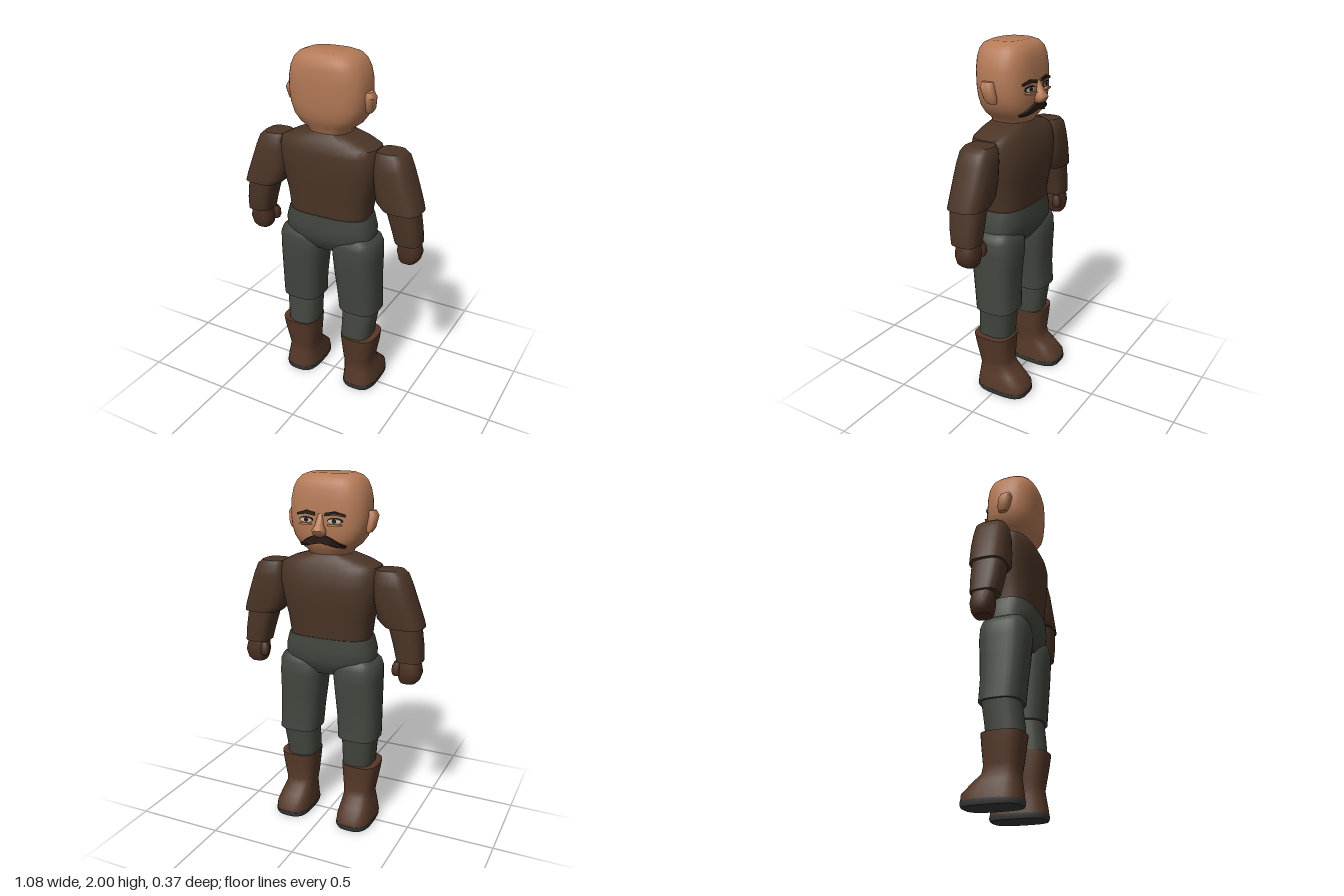
import * as THREE from 'three';
import { toCreasedNormals } from 'three/addons/utils/BufferGeometryUtils.js';

const material = (name, color) => {
  const m = new THREE.MeshStandardMaterial({ color });
  m.name = name;
  return m;
};

// Rounded cross-section: half width and depth as a superellipse of power n
const power = (v, n) => Math.sign(v) * Math.pow(Math.abs(v), 2 / n);

// Skin over stacked sections [y, xMin, xMax, zMin, zMax], listed from bottom to top
function loft(sections, { n = 2.8, sides = 28, side = 1, crease = 0.75 } = {}) {
  const pos = [], index = [];
  for (const [y, x0, x1, z0, z1] of sections) {
    for (let j = 0; j < sides; j++) {
      const t = (j / sides) * Math.PI * 2;
      pos.push(
        side * (x0 + x1) / 2 + (x1 - x0) / 2 * power(Math.cos(t), n), y,
        (z0 + z1) / 2 + (z1 - z0) / 2 * power(Math.sin(t), n));
    }
  }
  for (let i = 0; i < sections.length - 1; i++) {
    for (let j = 0; j < sides; j++) {
      const k = (j + 1) % sides;
      const a = i * sides + j, b = i * sides + k, c = a + sides, d = b + sides;
      index.push(a, c, b, b, c, d);
    }
  }
  // End caps
  const first = sections[0], last = sections[sections.length - 1];
  const low = pos.length / 3, high = low + 1, top = (sections.length - 1) * sides;
  for (const [y, x0, x1, z0, z1] of [first, last]) pos.push(side * (x0 + x1) / 2, y, (z0 + z1) / 2);
  for (let j = 0; j < sides; j++) {
    const k = (j + 1) % sides;
    index.push(low, j, k, high, top + k, top + j);
  }
  const g = new THREE.BufferGeometry();
  g.setAttribute('position', new THREE.Float32BufferAttribute(pos, 3));
  g.setIndex(index);
  return toCreasedNormals(g, crease);
}

const HEAD = [
  [1.57, -0.11, 0.11, -0.065, 0.125],
  [1.60, -0.125, 0.125, -0.085, 0.135],
  [1.63, -0.165, 0.165, -0.105, 0.155],
  [1.67, -0.195, 0.195, -0.116, 0.17],
  [1.72, -0.212, 0.212, -0.12, 0.178],
  [1.78, -0.22, 0.22, -0.121, 0.183],
  [1.86, -0.218, 0.218, -0.118, 0.186],
  [1.92, -0.205, 0.205, -0.112, 0.184],
  [1.96, -0.185, 0.185, -0.1, 0.176],
  [1.985, -0.16, 0.16, -0.08, 0.16],
  [2.0, -0.12, 0.12, -0.045, 0.13],
];

// Depth of the face surface at a point
function faceZ(x, y) {
  let i = 0;
  while (i < HEAD.length - 2 && HEAD[i + 1][0] < y) i++;
  const f = (y - HEAD[i][0]) / (HEAD[i + 1][0] - HEAD[i][0]);
  const [, , w, z0, z1] = HEAD[i].map((v, k) => v + (HEAD[i + 1][k] - v) * f);
  const r = Math.min(Math.abs(x) / w, 0.98);
  return (z0 + z1) / 2 - (z1 - z0) / 2 * Math.pow(1 - Math.pow(r, 2.8), 1 / 2.8);
}

// Plate cut from an outline and bent to the face, standing out by `out`
function facePlate(points, out, side = 1) {
  const shape = new THREE.Shape(points.map(([x, y]) => new THREE.Vector2(side * x, y)));
  const g = new THREE.ExtrudeGeometry(shape, { depth: out + 0.004, bevelEnabled: false });
  const p = g.attributes.position;
  for (let i = 0; i < p.count; i++) p.setZ(i, p.getZ(i) + faceZ(p.getX(i), p.getY(i)) - out);
  g.computeVertexNormals();
  return g;
}

const oval = (cx, cy, rx, ry, count = 14) => Array.from({ length: count }, (_, i) => {
  const t = (i / count) * Math.PI * 2;
  return [cx + rx * Math.cos(t), cy + ry * Math.sin(t)];
});

export function createModel() {
  const model = new THREE.Group();
  model.name = 'standingMan';
  const skin = material('skin', 0xb57a57);
  const shirt = material('shirt brown', 0x4b3527);
  const cloth = material('trouser grey', 0x43463f);
  const leather = material('boot leather', 0x553828);
  const glove = material('glove brown', 0x4a3022);
  const rubber = material('sole grey', 0x363a38);
  const hair = material('dark hair', 0x2e2019);
  const white = material('eye white', 0xcfc3b2);
  const dark = material('pupil', 0x1f1a18);

  const add = (name, geometry, mat) => {
    const mesh = new THREE.Mesh(geometry, mat);
    mesh.name = name;
    model.add(mesh);
  };

  // Head and nose
  add('head', loft(HEAD, { sides: 40 }), skin);
  add('nose', loft([
    [1.683, -0.022, 0.022, -0.145, -0.1],
    [1.695, -0.034, 0.034, -0.163, -0.1],
    [1.718, -0.037, 0.037, -0.175, -0.1],
    [1.745, -0.022, 0.022, -0.157, -0.1],
    [1.80, -0.013, 0.013, -0.127, -0.1],
  ], { n: 2.2, sides: 16, crease: 1 }), skin);

  // Moustache with drooping ends
  const half = [[0.0, 1.69], [0.035, 1.688], [0.07, 1.672], [0.105, 1.65], [0.132, 1.637],
    [0.125, 1.625], [0.09, 1.628], [0.05, 1.638], [0.0, 1.648]];
  for (const s of [1, -1]) add(s > 0 ? 'leftMoustache' : 'rightMoustache', facePlate(half, 0.016, s), hair);

  // Torso and pelvis
  add('shirt', loft([
    [1.09, -0.23, 0.23, -0.098, 0.16],
    [1.14, -0.235, 0.235, -0.102, 0.163],
    [1.22, -0.245, 0.245, -0.112, 0.168],
    [1.31, -0.268, 0.268, -0.123, 0.175],
    [1.41, -0.285, 0.285, -0.13, 0.181],
    [1.48, -0.29, 0.29, -0.115, 0.178],
    [1.52, -0.28, 0.28, -0.103, 0.17],
    [1.55, -0.22, 0.22, -0.09, 0.152],
    [1.582, -0.115, 0.115, -0.07, 0.128],
  ], { n: 3, sides: 36 }), shirt);
  add('pelvis', loft([
    [0.90, -0.11, 0.11, -0.06, 0.12],
    [0.95, -0.19, 0.19, -0.095, 0.155],
    [0.99, -0.262, 0.262, -0.107, 0.168],
    [1.05, -0.262, 0.262, -0.108, 0.17],
    [1.12, -0.243, 0.243, -0.105, 0.166],
  ], { n: 3, sides: 36 }), cloth);

  for (const s of [1, -1]) {
    const label = s > 0 ? 'left' : 'right';
    const part = (name, sections, mat, options) => add(label + name, loft(sections, { side: s, ...options }), mat);
    const plate = (name, points, out, mat) => add(label + name, facePlate(points, out, s), mat);

    // Ear
    part('Ear', [
      [1.70, 0.205, 0.232, 0.0, 0.05],
      [1.725, 0.2, 0.248, -0.004, 0.066],
      [1.785, 0.2, 0.258, 0.005, 0.084],
      [1.812, 0.2, 0.243, 0.015, 0.075],
    ], skin, { sides: 16 });

    // Eye and brow
    plate('EyeRim', oval(0.082, 1.767, 0.042, 0.016), 0.004, dark);
    plate('Eye', oval(0.082, 1.765, 0.036, 0.012), 0.006, white);
    plate('Pupil', oval(0.08, 1.766, 0.012, 0.011, 10), 0.008, dark);
    plate('LowerLid', oval(0.083, 1.746, 0.037, 0.007), 0.02, skin);
    plate('Brow', [[0.028, 1.79], [0.08, 1.797], [0.137, 1.788], [0.137, 1.8], [0.08, 1.816], [0.028, 1.806]], 0.009, hair);

    // Arm: wide sleeve, narrower forearm, gloved fist
    part('UpperSleeve', [
      [1.21, 0.325, 0.537, -0.065, 0.131],
      [1.25, 0.282, 0.527, -0.07, 0.13],
      [1.34, 0.268, 0.495, -0.077, 0.125],
      [1.43, 0.262, 0.463, -0.076, 0.118],
      [1.49, 0.265, 0.438, -0.07, 0.108],
      [1.515, 0.275, 0.41, -0.055, 0.092],
    ], shirt, { n: 3 });
    part('ForearmSleeve', [
      [1.025, 0.398, 0.54, -0.048, 0.1],
      [1.10, 0.38, 0.534, -0.052, 0.113],
      [1.23, 0.342, 0.513, -0.055, 0.125],
    ], shirt, { n: 3 });
    part('Fist', [
      [0.902, 0.425, 0.508, -0.03, 0.06],
      [0.92, 0.415, 0.527, -0.04, 0.07],
      [0.965, 0.405, 0.541, -0.046, 0.077],
      [1.01, 0.41, 0.53, -0.042, 0.077],
      [1.04, 0.415, 0.52, -0.035, 0.075],
    ], glove);
    part('Thumb', [
      [0.945, 0.39, 0.43, -0.042, -0.005],
      [0.965, 0.383, 0.43, -0.05, 0.0],
      [1.0, 0.385, 0.43, -0.046, 0.002],
      [1.022, 0.395, 0.43, -0.035, -0.002],
    ], glove, { sides: 14 });

    // Leg: loose thigh, shin, boot and sole
    part('Thigh', [
      [0.53, 0.068, 0.302, -0.1, 0.131],
      [0.65, 0.06, 0.3, -0.094, 0.142],
      [0.78, 0.046, 0.298, -0.1, 0.156],
      [0.88, 0.037, 0.298, -0.107, 0.164],
      [0.95, 0.035, 0.297, -0.102, 0.163],
      [0.985, 0.06, 0.282, -0.09, 0.155],
      [1.02, 0.1, 0.235, -0.06, 0.13],
    ], cloth, { n: 3 });
    part('Shin', [
      [0.34, 0.09, 0.265, -0.064, 0.135],
      [0.42, 0.088, 0.272, -0.072, 0.13],
      [0.55, 0.088, 0.288, -0.087, 0.115],
    ], cloth);
    part('Boot', [
      [0.028, 0.093, 0.3, -0.185, 0.132],
      [0.065, 0.096, 0.296, -0.182, 0.128],
      [0.12, 0.103, 0.283, -0.127, 0.12],
      [0.16, 0.105, 0.272, -0.08, 0.115],
      [0.2, 0.1, 0.277, -0.07, 0.122],
      [0.3, 0.092, 0.296, -0.077, 0.138],
      [0.36, 0.088, 0.303, -0.081, 0.147],
    ], leather, { n: 3 });
    part('Sole', [
      [0.0, 0.097, 0.296, -0.18, 0.128],
      [0.012, 0.092, 0.301, -0.187, 0.133],
      [0.03, 0.092, 0.301, -0.187, 0.133],
    ], rubber, { n: 3 });
  }
  return model;
}
